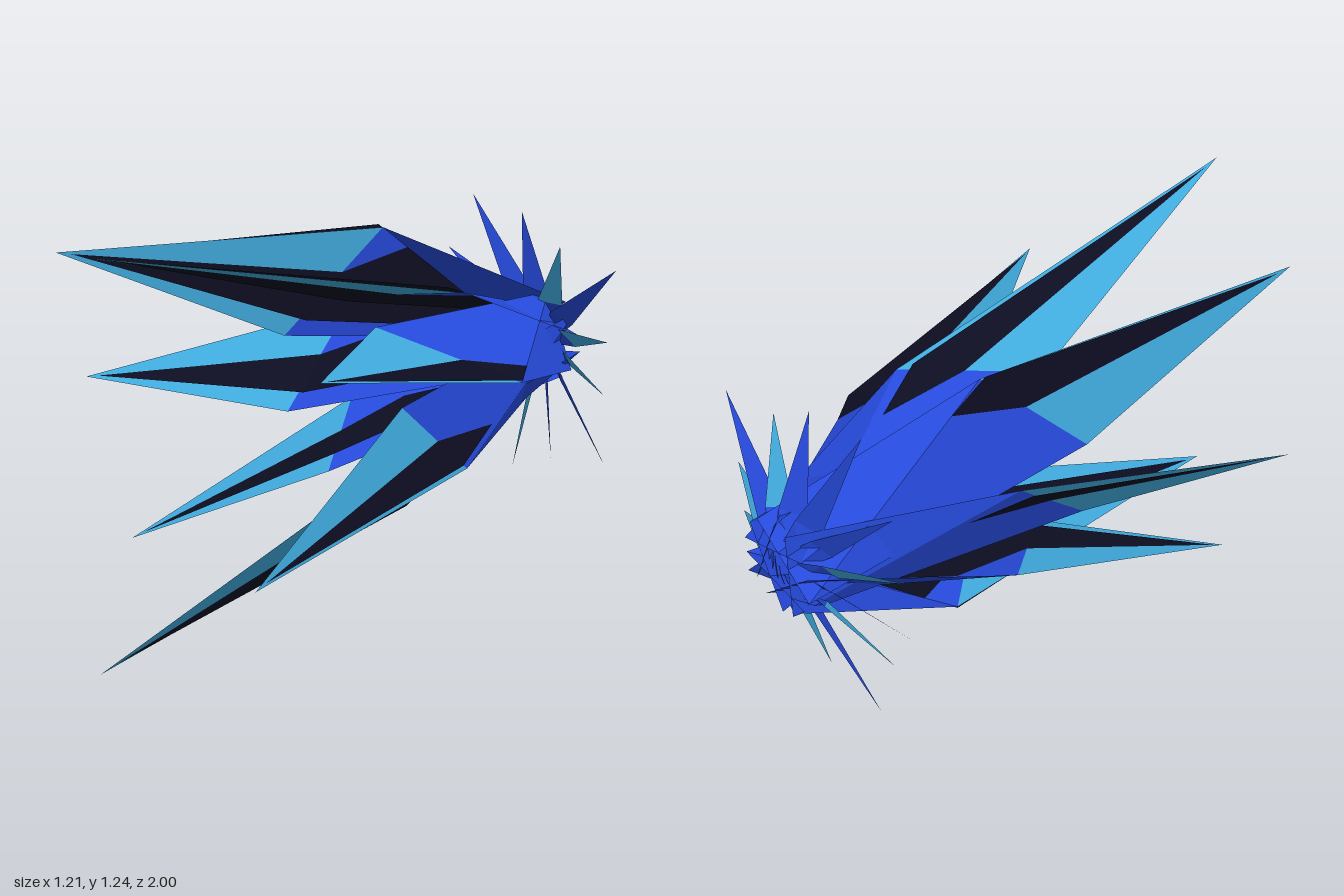
import * as THREE from 'three';

const mat = (name, hex) => {
  const m = new THREE.MeshStandardMaterial({ color: hex, side: THREE.DoubleSide, flatShading: true });
  m.name = name;
  return m;
};

// Thin faceted sheet: each triangle is three [radial, sideways, z] corners.
function sheet(name, material, ...triangles) {
  const g = new THREE.BufferGeometry();
  g.setAttribute('position', new THREE.Float32BufferAttribute(triangles.flat(2), 3));
  g.computeVertexNormals();
  const mesh = new THREE.Mesh(g, material);
  mesh.name = name;
  return mesh;
}

const mix = (a, b, t) => a.map((v, i) => v + (b[i] - v) * t);

export function createModel() {
  const blue = mat('royal blue', 0x264adc);
  const sky = mat('sky blue', 0x40aadd);
  const dark = mat('near black', 0x0d0d22);

  const model = new THREE.Group();
  model.name = 'crystalBurst';
  const burst = new THREE.Group();
  burst.name = 'burst';
  burst.position.set(0.03, 0.6205, 0);
  model.add(burst);

  // Seven twisted blades: tip depth and reach of the outer shoulder
  const blades = [
    [0.53, 0.463], [1.0, 0.348], [0.76, 0.463], [0.53, 0.348],
    [0.53, 0.348], [1.0, 0.463], [0.76, 0.348],
  ];
  const half = 0.145;
  blades.forEach(([tipZ, reach], i) => {
    const blade = new THREE.Group();
    blade.name = 'blade';
    blade.rotation.z = (i + 0.5) * Math.PI * 2 / 7;

    const baseR = [0.06, -half, -1], baseL = [0.06, half, -1];
    const shoulderR = [reach, -half, -0.36], shoulderL = [0.265, half, -0.02];
    const tip = [0.635, 0, tipZ];
    blade.add(
      sheet('bladeRoot', blue, [baseR, shoulderR, baseL], [baseL, shoulderR, shoulderL]),
      sheet('bladeTip', sky, [shoulderR, tip, shoulderL]),
    );

    // Dark core crosses the blade: outside on one half, inside on the other
    const wide = reach > 0.4;
    const coreR = mix(shoulderR, shoulderL, wide ? 0.02 : 0.12);
    const coreL = mix(shoulderL, shoulderR, 0.19);
    coreR[0] += 0.02;
    coreL[0] -= 0.02;
    const coreTip = mix(tip, mix(shoulderR, shoulderL, 0.5), 0.05);
    const coreRoot = [0.08, 0.065, -0.9];
    blade.add(sheet('bladeCore', dark, [coreR, coreTip, coreL], [coreRoot, coreR, coreL]));
    burst.add(blade);
  });

  // Ring of fourteen thin spikes around the rear
  const lengths = [0.42, 0.55, 0.42, 0.47, 0.55, 0.455, 0.42, 0.455, 0.42, 0.55, 0.46, 0.42, 0.55, 0.42];
  const skySpikes = [0, 2, 6, 8, 10, 13];
  lengths.forEach((length, k) => {
    const spike = new THREE.Group();
    spike.name = 'spike';
    spike.rotation.z = (k + 0.5) * Math.PI / 7;
    const a = [0.06, -0.03, -0.98], b = [0.06, 0.03, -0.96];
    const c = [0.17, -0.035, -0.95], d = [0.15, 0.035, -0.9];
    const tip = [length, 0, -0.84];
    spike.add(
      sheet('spikeRoot', blue, [a, c, b], [b, c, d]),
      sheet('spikeTip', skySpikes.includes(k) ? sky : blue, [c, tip, d]),
    );
    burst.add(spike);
  });

  return model;
}
